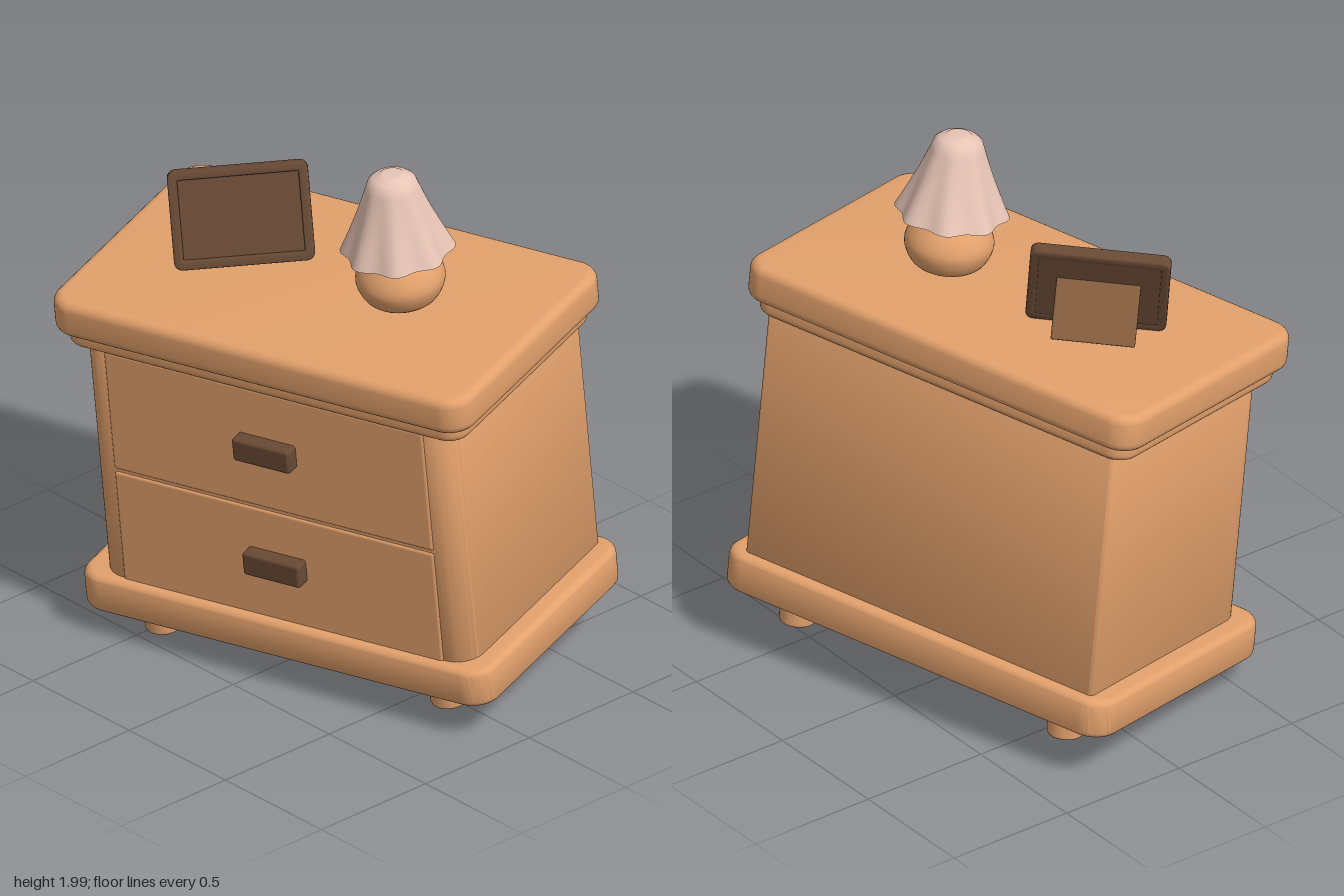
import * as THREE from 'three';
import { toCreasedNormals } from 'three/addons/utils/BufferGeometryUtils.js';
import { RoundedBoxGeometry } from 'three/addons/geometries/RoundedBoxGeometry.js';

const rad = THREE.MathUtils.degToRad;
const material = (color) => new THREE.MeshStandardMaterial({ color });

// Rectangle centred on the origin; rLow rounds the -y corners, rHigh the +y corners
function roundedRect(w, h, rLow, rHigh = rLow, Type = THREE.Shape) {
  const x = w / 2, y = h / 2, s = new Type();
  s.moveTo(-x + rLow, -y);
  s.lineTo(x - rLow, -y);
  s.absarc(x - rLow, -y + rLow, rLow, -Math.PI / 2, 0);
  s.lineTo(x, y - rHigh);
  s.absarc(x - rHigh, y - rHigh, rHigh, 0, Math.PI / 2);
  s.lineTo(-x + rHigh, y);
  s.absarc(-x + rHigh, y - rHigh, rHigh, Math.PI / 2, Math.PI);
  s.lineTo(-x, -y + rLow);
  s.absarc(-x + rLow, -y + rLow, rLow, Math.PI, Math.PI * 1.5);
  return s;
}

// Horizontal board with rounded corners and softened edges, from y = 0 to y = h
function slab(w, d, h, rFront, rBack, bevel) {
  const shape = roundedRect(w - 2 * bevel, d - 2 * bevel, rFront - bevel, rBack - bevel);
  const geo = new THREE.ExtrudeGeometry(shape, {
    depth: h - 2 * bevel, bevelThickness: bevel, bevelSize: bevel, bevelSegments: 5, curveSegments: 10,
  });
  geo.translate(0, 0, bevel).rotateX(-Math.PI / 2);
  return toCreasedNormals(geo, 0.6);
}

function add(parent, name, geo, mat, x = 0, y = 0, z = 0) {
  const mesh = new THREE.Mesh(geo, mat);
  mesh.name = name;
  mesh.position.set(x, y, z);
  parent.add(mesh);
  return mesh;
}

function buildCabinet(wood, dark) {
  const cabinet = new THREE.Group();
  cabinet.name = 'cabinet';
  add(cabinet, 'basePlinth', slab(1.69, 0.99, 0.15, 0.1, 0.1, 0.03), wood, 0, 0.155);
  add(cabinet, 'body', slab(1.53, 0.9, 1.0, 0.1, 0.02, 0.005), wood, 0, 0.28);
  add(cabinet, 'trim', slab(1.64, 0.945, 0.08, 0.08, 0.08, 0.025), wood, 0, 1.255);
  add(cabinet, 'tableTop', slab(1.72, 1.02, 0.145, 0.1, 0.1, 0.035), wood, 0, 1.3125);

  // Two drawers, each with a handle
  for (const [low, high, handleY] of [[0.29, 0.755, 0.54], [0.765, 1.26, 1.02]]) {
    add(cabinet, 'drawer', new RoundedBoxGeometry(1.32, high - low, 0.06, 3, 0.012), wood, 0, (low + high) / 2, 0.427);
    add(cabinet, 'drawerHandle', new RoundedBoxGeometry(0.235, 0.092, 0.07, 3, 0.012), dark, 0, handleY, 0.475);
  }

  // Four round feet
  const foot = new THREE.LatheGeometry([
    [0, 0], [0.055, 0], [0.063, 0.004], [0.066, 0.012], [0.07, 0.13],
  ].map(([x, y]) => new THREE.Vector2(x, y)), 24);
  for (const x of [-0.59, 0.59]) for (const z of [-0.335, 0.335]) add(cabinet, 'foot', foot, wood, x, 0.05, z);
  return cabinet;
}

function buildLamp(wood, pink) {
  const lamp = new THREE.Group();
  lamp.name = 'lamp';

  // Bulbous base narrowing to a neck
  const profile = new THREE.SplineCurve([
    [0.08, 0], [0.13, 0.03], [0.158, 0.085], [0.155, 0.13], [0.125, 0.18], [0.075, 0.222], [0.04, 0.25], [0.03, 0.3],
  ].map(([x, y]) => new THREE.Vector2(x, y))).getPoints(28);
  add(lamp, 'lampBase', new THREE.LatheGeometry([new THREE.Vector2(0, 0), ...profile], 40), wood);
  const band = new THREE.TorusGeometry(0.155, 0.005, 8, 40).rotateX(Math.PI / 2);
  add(lamp, 'lampBand', band, wood, 0, 0.108);

  // Fluted shade: eight folds that fade out toward the top
  const shade = new THREE.LatheGeometry([
    [0.195, 0.222], [0.162, 0.3], [0.13, 0.38], [0.096, 0.475], [0.087, 0.502], [0.068, 0.518],
    [0.05, 0.522], [0.045, 0.528], [0.03, 0.53], [0, 0.53],
  ].map(([x, y]) => new THREE.Vector2(x, y)), 64);
  const p = shade.attributes.position;
  for (let i = 0; i < p.count; i++) {
    const x = p.getX(i), z = p.getZ(i), fade = Math.max(0, (0.5 - p.getY(i)) / 0.28);
    const fold = 1 + 0.06 * fade * Math.cos(8 * (Math.atan2(z, x) - rad(16)));
    p.setXYZ(i, x * fold, p.getY(i), z * fold);
  }
  shade.computeVertexNormals();
  pink.side = THREE.DoubleSide;
  add(lamp, 'lampShade', shade, pink);
  return lamp;
}

function buildPictureFrame(dark, brown) {
  const group = new THREE.Group();
  group.name = 'pictureFrame';
  const W = 0.5, H = 0.36, b = 0.008;

  // Leaning rim with a recessed panel
  const leaning = new THREE.Group();
  leaning.name = 'leaningFrame';
  leaning.position.y = 0.014;
  leaning.rotation.x = rad(-21);
  const shape = roundedRect(W - 2 * b, H - 2 * b, 0.022);
  shape.holes.push(roundedRect(W - 0.07 + 2 * b, H - 0.07 + 2 * b, 0.012, 0.012, THREE.Path));
  const rim = new THREE.ExtrudeGeometry(shape, {
    depth: 0.05 - 2 * b, bevelThickness: b, bevelSize: b, bevelSegments: 3, curveSegments: 6,
  });
  add(leaning, 'frameRim', toCreasedNormals(rim, 0.6), dark, 0, H / 2, -0.05 + b);
  add(leaning, 'framePanel', new THREE.BoxGeometry(W - 0.05, H - 0.05, 0.03), dark, 0, H / 2, -0.033);
  group.add(leaning);

  // Prop behind the frame, from hinge to foot
  const hinge = new THREE.Vector2(-0.115, 0.215), end = new THREE.Vector2(-0.205, 0.008);
  const prop = add(group, 'frameProp', new RoundedBoxGeometry(0.3, hinge.distanceTo(end), 0.025, 2, 0.006), brown,
    0, (hinge.y + end.y) / 2, (hinge.x + end.x) / 2);
  prop.rotation.x = Math.atan2(hinge.x - end.x, hinge.y - end.y);
  return group;
}

export function createModel() {
  const wood = material(0xe3a16c), dark = material(0x684a35), brown = material(0x8a6041), pink = material(0xe8c5b6);
  const model = new THREE.Group();
  model.name = 'nightstand';
  model.add(buildCabinet(wood, dark));

  const lamp = buildLamp(wood, pink);
  lamp.position.set(0.313, 1.455, -0.015);
  const frame = buildPictureFrame(dark, brown);
  frame.position.set(-0.3, 1.457, 0.045);
  frame.rotation.y = rad(33);
  model.add(lamp, frame);

  // The whole piece is turned and tips slightly forward
  model.rotation.set(rad(6), rad(16), 0);
  model.position.set(0, 0.01, -0.094);
  const root = new THREE.Group();
  root.add(model);
  return root;
}
